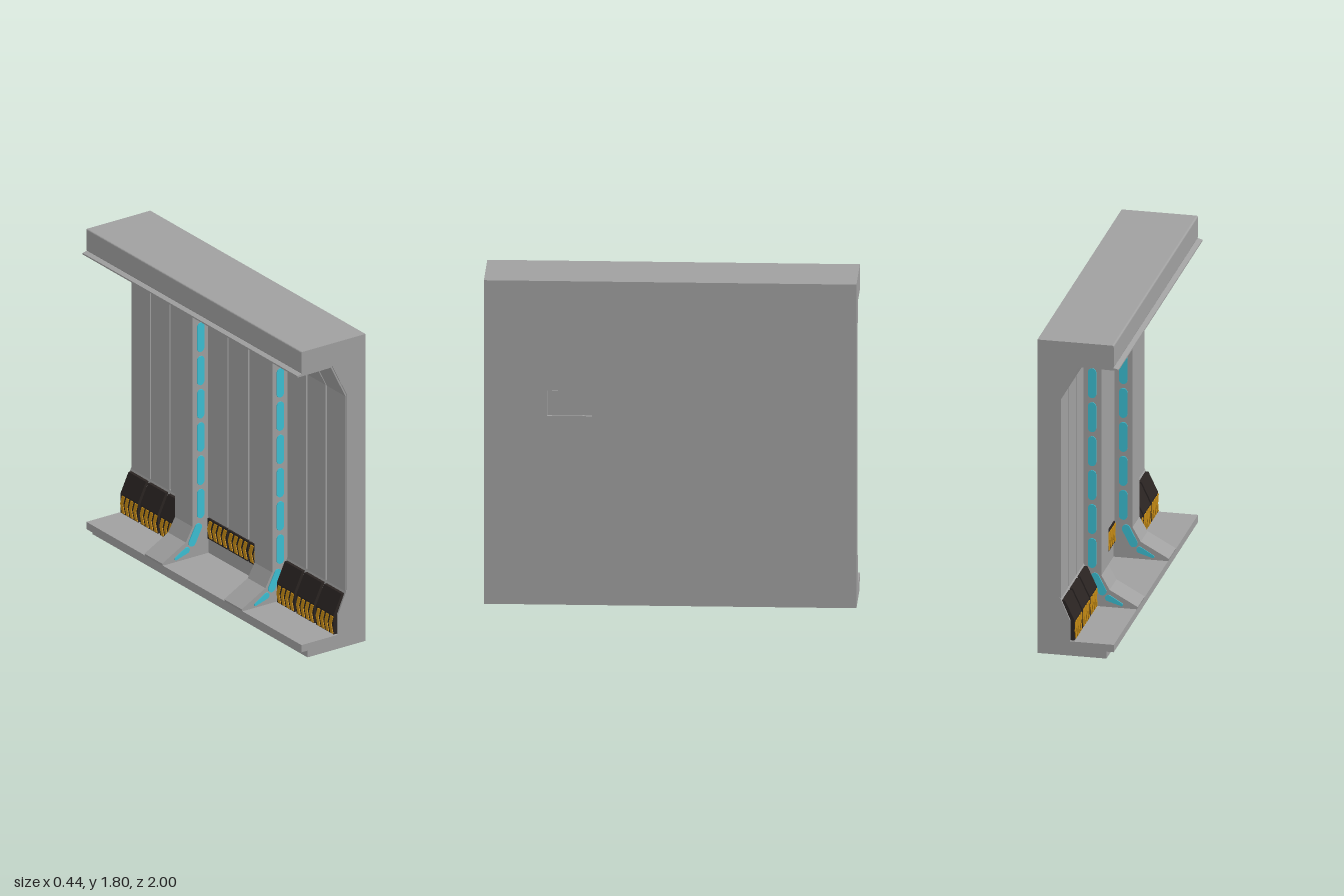
import * as THREE from 'three';

const mat = (name, color) => Object.assign(new THREE.MeshStandardMaterial({ color }), { name });

export function createModel() {
  const grey = mat('wall grey', 0xa0a0a0);
  const cyan = mat('lamp cyan', 0x3cc0d4);
  const dark = mat('kick plate black', 0x2a2422);
  const gold = mat('hazard gold', 0xc58a14);
  const root = new THREE.Group();

  const poly = (pts) => new THREE.Shape(pts.map(([a, b]) => new THREE.Vector2(a, b)));
  const add = (name, geo, material, parent = root) => {
    const mesh = new THREE.Mesh(geo, material);
    mesh.name = name;
    parent.add(mesh);
    return mesh;
  };
  // x-y cross-section running along z from z0 to z1
  const along = (name, shape, z0, z1, material, parent) => {
    const geo = new THREE.ExtrudeGeometry(shape, { depth: z1 - z0, bevelEnabled: false, curveSegments: 6 });
    return add(name, geo.translate(0, 0, z0), material, parent);
  };
  // (-z)-y outline given thickness along x from x0 to x1
  const across = (name, shape, x0, x1, material, parent) => {
    const geo = new THREE.ExtrudeGeometry(shape, { depth: x1 - x0, bevelEnabled: false });
    return add(name, geo.rotateY(Math.PI / 2).translate(x0, 0, 0), material, parent);
  };

  // Base with a notched inner edge
  along('base', poly([[-0.16, 0], [0.22, 0], [0.22, 0.082], [-0.2, 0.082], [-0.2, 0.04], [-0.16, 0.04]]), -1, 1, grey);

  // Wall core with the corbel under the top beam
  along('wallCore', poly([[0.1, 0.082], [0.2, 0.082], [0.2, 1.8], [0, 1.8], [0, 1.67], [0.1, 1.47]]), -1, 1, grey);

  // Outer skin with a recessed hatch
  const skin = poly([[-1, 0.082], [1, 0.082], [1, 1.8], [-1, 1.8]]);
  skin.holes.push(new THREE.Path([[-0.66, 1.05], [-0.66, 1.19], [-0.42, 1.19], [-0.42, 1.05]]
    .map(([a, b]) => new THREE.Vector2(a, b))));
  across('outerSkin', skin, 0.2, 0.22, grey);
  across('hatchCover', poly([[-0.635, 1.052], [-0.47, 1.052], [-0.47, 1.188], [-0.635, 1.188]]), 0.199, 0.217, grey);
  across('hatchLatch', poly([[-0.46, 1.052], [-0.44, 1.052], [-0.44, 1.188], [-0.46, 1.188]]), 0.199, 0.21, grey);

  // Top beam with softened inner edges and a thin lip below
  const beam = new THREE.Shape();
  beam.moveTo(0, 1.67);
  beam.lineTo(0, 1.8);
  beam.lineTo(-0.19, 1.8);
  beam.quadraticCurveTo(-0.2, 1.8, -0.2, 1.79);
  beam.lineTo(-0.2, 1.68);
  beam.quadraticCurveTo(-0.2, 1.67, -0.19, 1.67);
  along('topBeam', beam, -1, 1, grey);
  along('beamLip', poly([[-0.225, 1.657], [0, 1.66], [0, 1.671], [-0.2, 1.671], [-0.225, 1.665]]), -1, 1, grey);

  // Ribs with lamps on both sides
  const ribShape = poly([[-0.2, 0.08], [0.1, 0.08], [0.1, 1.48], [0.01, 1.67], [-0.2, 1.665], [-0.2, 1.655],
    [-0.05, 1.57], [-0.005, 1.49], [-0.005, 0.26], [-0.05, 0.18], [-0.205, 0.095]]);
  const pill = (length, r0, r1) => {
    const s = new THREE.Shape();
    const h = length / 2;
    s.absarc(0, h - r1, r1, 0, Math.PI, false);
    s.absarc(0, -h + r0, r0, Math.PI, Math.PI * 2, false);
    return s;
  };
  // x, y, tilt, length, lower radius, upper radius
  const lamps = [];
  for (let i = 0; i < 6; i++) lamps.push([0.046, 0.385 + i * 0.195, 0, 0.17, 0.023, 0.023]);
  lamps.push([0.015, 1.54, 0.47, 0.135, 0.023, 0.023], [-0.076, 1.63, 1.15, 0.105, 0.018, 0.008]);
  lamps.push([0.01, 0.21, -0.47, 0.135, 0.023, 0.023], [-0.076, 0.12, Math.PI - 1.15, 0.105, 0.018, 0.008]);
  for (const z of [-0.37, 0.37]) {
    const rib = new THREE.Group();
    rib.name = 'rib';
    root.add(rib);
    along('ribBody', ribShape, z - 0.082, z + 0.082, grey, rib);
    for (const [x, y, tilt, length, r0, r1] of lamps) {
      const lamp = along('lamp', pill(length, r0, r1), -0.087, 0.087, cyan, rib);
      lamp.position.set(x, y, z);
      lamp.rotation.z = tilt;
    }
  }

  // Hazard chevrons across one panel, on a face at x
  const chevrons = (zMid, width, x, y, h) => {
    const pitch = width / 4;
    for (let i = 0; i < 4; i++) {
      const u = -zMid - width / 2 + i * pitch;
      const w = pitch * 0.58, s = pitch * 0.4;
      across('hazardChevron', poly([[u, y], [u + w, y], [u + w + s, y + h / 2], [u + w, y + h], [u, y + h],
        [u + s, y + h / 2]]), x - 0.005, x, gold);
    }
  };

  // Three wall panels per bay, with kick plates
  const kick = poly([[0.042, 0.085], [0.042, 0.2], [0.098, 0.31], [0.07, 0.31], [0.018, 0.2], [0.018, 0.085]]);
  const plinth = poly([[0.04, 0.08], [0.11, 0.08], [0.11, 0.325], [0.094, 0.325], [0.04, 0.2]]);
  for (const [z0, z1] of [[-1, -0.452], [-0.288, 0.288], [0.452, 1]]) {
    const middle = z0 + z1 === 0;
    const step = (z1 - z0) / 3;
    const low = middle ? 0.3 : 0.32;
    if (!middle) along('plinth', plinth, z0, z1, grey);
    for (let i = 0; i < 3; i++) {
      const a = z0 + i * step + 0.006, b = z0 + (i + 1) * step - 0.006;
      const mid = (a + b) / 2;
      along('wallPanel', poly([[0.092, low], [0.102, low], [0.102, 1.47], [0.004, 1.664], [-0.006, 1.662],
        [0.092, 1.465]]), a, b, grey);
      if (middle) {
        across('hazardBacking', poly([[-b, 0.17], [-a, 0.17], [-a, 0.29], [-b, 0.29]]), 0.09, 0.101, dark);
        chevrons(mid, b - a, 0.09, 0.18, 0.1);
      } else {
        along('kickPlate', kick, a + 0.004, b - 0.004, dark);
        chevrons(mid, b - a - 0.01, 0.018, 0.09, 0.1);
      }
    }
  }
  return root;
}
